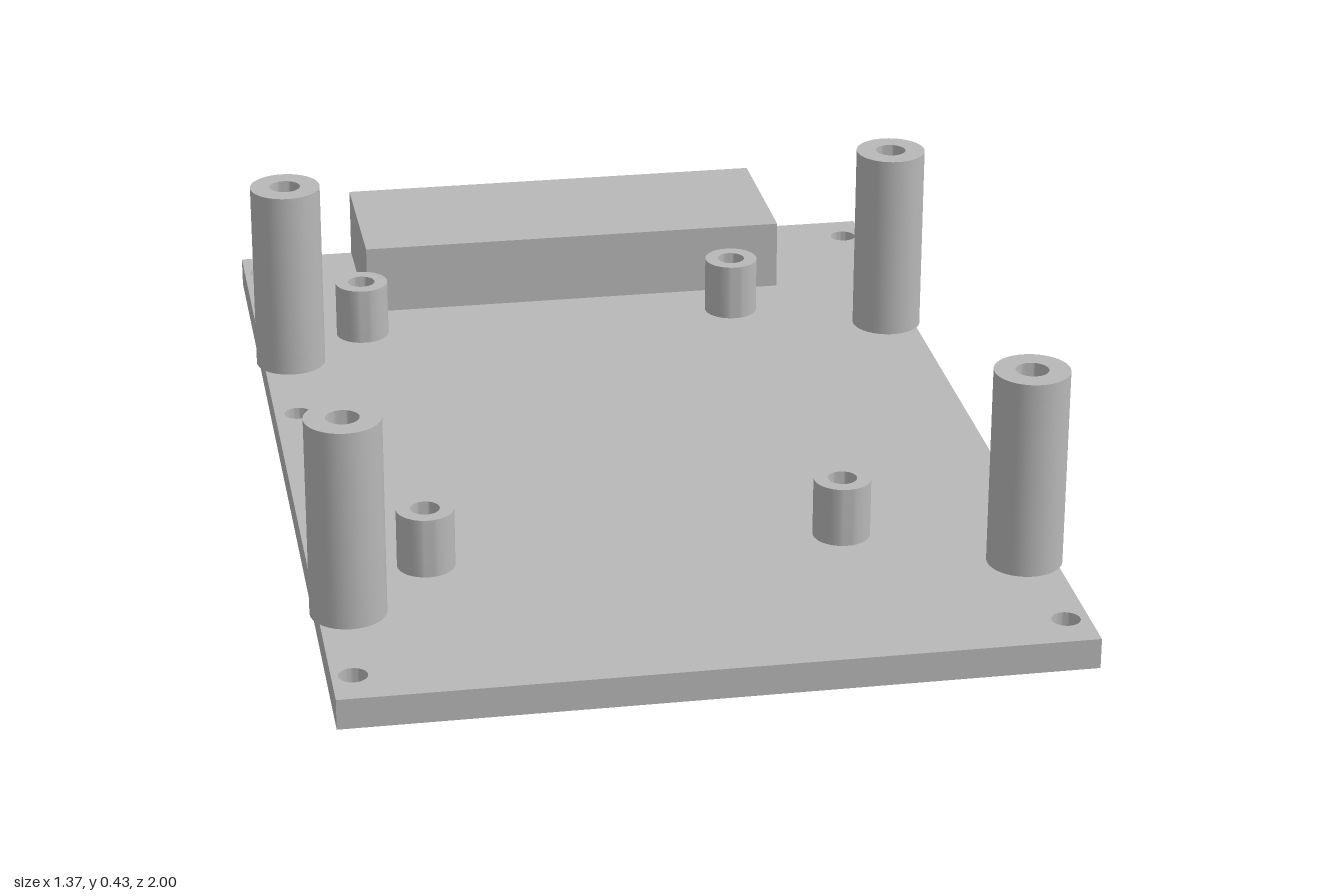
import * as THREE from 'three';
import { toCreasedNormals } from 'three/addons/utils/BufferGeometryUtils.js';

const PLATE_TOP = 0.057;

function rectPath(Type, x0, y0, x1, y1) {
  return new Type([[x0, y0], [x1, y0], [x1, y1], [x0, y1]].map(([x, y]) => new THREE.Vector2(x, y)));
}

// Hollow post standing on the plate; the bore ends at the plate surface
function postGeometry(outer, inner, top) {
  const profile = [[inner, PLATE_TOP], [outer, PLATE_TOP], [outer, top], [inner, top], [inner, PLATE_TOP]];
  const lathe = new THREE.LatheGeometry(profile.map(([r, y]) => new THREE.Vector2(r, y)), 40);
  return toCreasedNormals(lathe, 0.6);
}

export function createModel() {
  const model = new THREE.Group();
  model.name = 'mountingPlate';
  const grey = new THREE.MeshStandardMaterial({ color: 0xb8b8b8 });
  grey.name = 'grey';

  const add = (name, geometry, x = 0, y = 0, z = 0) => {
    const mesh = new THREE.Mesh(geometry, grey);
    mesh.name = name;
    mesh.position.set(x, y, z);
    model.add(mesh);
  };

  // Base plate with screw holes
  const plate = rectPath(THREE.Shape, -0.67, -1, 0.67, 1);
  for (const [x, z] of [[-0.632, -0.918], [0.628, -0.918], [-0.625, -0.184], [-0.632, 0.916], [0.628, 0.916]]) {
    plate.holes.push(new THREE.Path().absarc(x, z, 0.026, 0, Math.PI * 2, true));
  }
  const plateGeometry = new THREE.ExtrudeGeometry(plate, { depth: PLATE_TOP, bevelEnabled: false, curveSegments: 24 });
  plateGeometry.rotateX(Math.PI / 2);
  add('basePlate', toCreasedNormals(plateGeometry, 0.6), 0, PLATE_TOP, 0);

  // Tall posts overhang the side edges
  const tall = postGeometry(0.069, 0.03, 0.434);
  for (const x of [-0.615, 0.615]) for (const z of [-0.442, 0.677]) add('tallPost', tall, x, 0, z);

  // Short posts
  const short = postGeometry(0.053, 0.027, 0.17);
  for (const x of [-0.457, 0.311]) for (const z of [-0.562, 0.515]) add('shortPost', short, x, 0, z);

  // Rear housing: two pockets open at the back, closed by a front wall
  const housing = rectPath(THREE.Shape, -0.435, PLATE_TOP, 0.43, 0.197);
  housing.holes.push(rectPath(THREE.Path, -0.413, 0.086, -0.206, 0.163));
  housing.holes.push(rectPath(THREE.Path, 0.2, 0.086, 0.408, 0.163));
  add('rearHousing', new THREE.ExtrudeGeometry(housing, { depth: 0.29, bevelEnabled: false }), 0, 0, -1);
  add('housingFrontWall', new THREE.BoxGeometry(0.865, 0.14, 0.042), -0.0025, 0.127, -0.689);

  return model;
}
